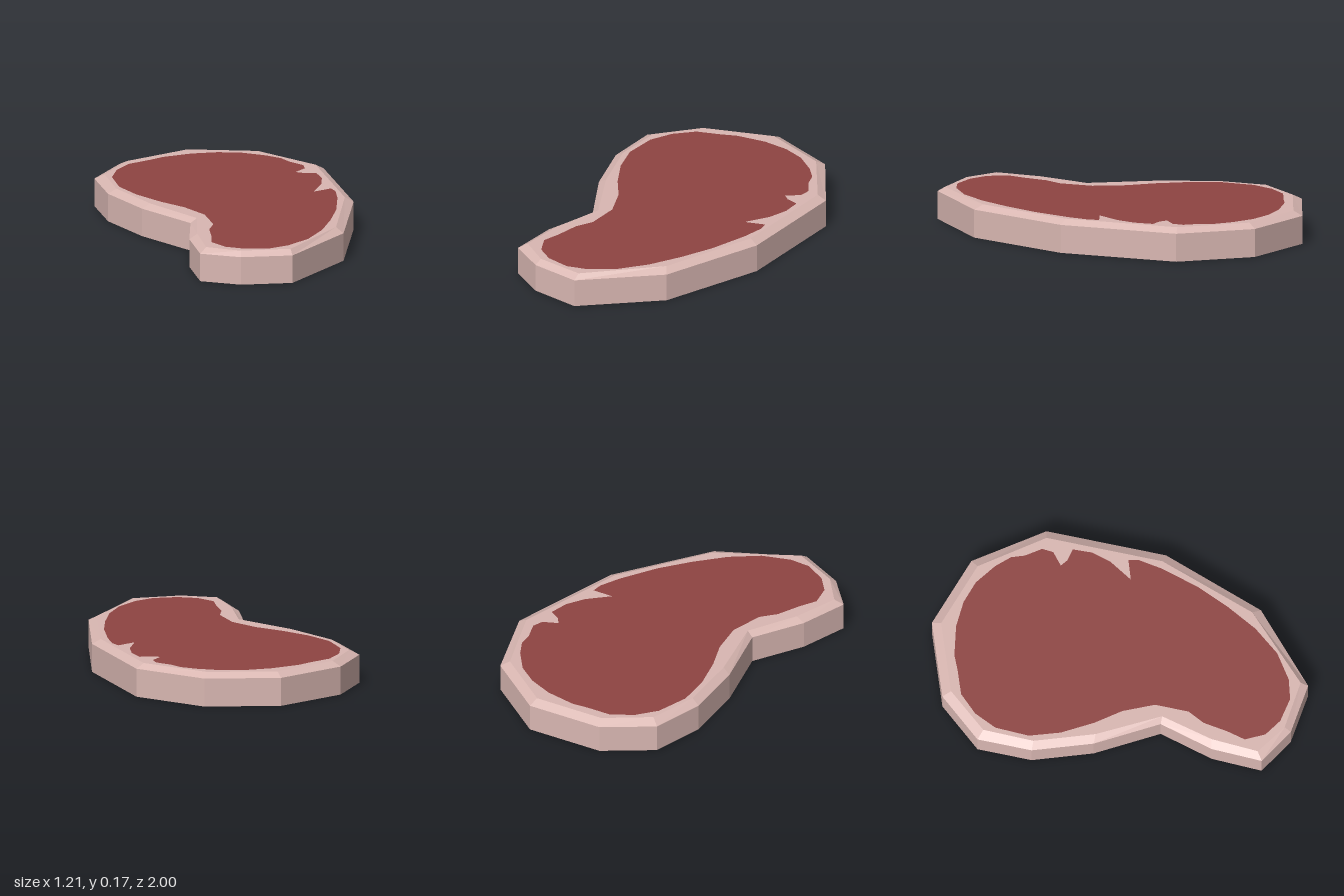
import * as THREE from 'three';

// Slab corners as [x, z], starting at the back and running round by the +x side
const outer = [
  [-0.02, -1], [0.36, -0.87], [0.605, -0.52], [0.605, 0.12], [0.41, 0.67], [0.05, 1], [-0.22, 0.965],
  [-0.41, 0.85], [-0.4, 0.58], [-0.32, 0.29], [-0.5, -0.03], [-0.605, -0.34], [-0.605, -0.63], [-0.41, -0.86],
];
const inner = [
  [-0.02, -0.95], [0.33, -0.83], [0.56, -0.51], [0.56, 0.11], [0.38, 0.63], [0.05, 0.96], [-0.21, 0.93],
  [-0.37, 0.82], [-0.355, 0.57], [-0.285, 0.29], [-0.455, -0.03], [-0.56, -0.34], [-0.555, -0.61], [-0.38, -0.82],
];
// Ragged edge of the lean meat, same direction
const lean = [
  [-0.02, -0.87], [0.12, -0.86], [0.24, -0.82], [0.35, -0.74], [0.415, -0.67], [0.44, -0.6], [0.495, -0.52],
  [0.49, -0.46], [0.425, -0.405], [0.46, -0.378], [0.526, -0.363], [0.53, -0.26], [0.5, -0.155], [0.425, -0.03],
  [0.53, -0.066], [0.54, -0.01], [0.52, 0.11], [0.46, 0.32], [0.385, 0.495], [0.295, 0.665], [0.185, 0.805],
  [0.055, 0.895], [-0.05, 0.925], [-0.18, 0.9], [-0.27, 0.84], [-0.32, 0.74], [-0.295, 0.64], [-0.275, 0.51],
  [-0.23, 0.42], [-0.23, 0.24], [-0.3, 0.08], [-0.395, -0.05], [-0.485, -0.21], [-0.537, -0.37],
  [-0.53, -0.55], [-0.475, -0.67], [-0.385, -0.765], [-0.26, -0.81], [-0.18, -0.845],
];
const EDGE_Y = 0.15, TOP_Y = 0.175;

// Flat face at height y, pointing up (dir 1) or down (dir -1), with an optional hole
function face(points, y, dir, hole) {
  const to2D = (list) => list.map(([x, z]) => new THREE.Vector2(x, -dir * z));
  const shape = new THREE.Shape(to2D(points));
  if (hole) shape.holes.push(new THREE.Path(to2D(hole)));
  return new THREE.ShapeGeometry(shape).rotateX(-dir * Math.PI / 2).translate(0, y, 0);
}

// Faceted band joining two loops
function band(low, y0, high, y1) {
  const pos = [];
  low.forEach((a, i) => {
    const j = (i + 1) % low.length;
    const a0 = [a[0], y0, a[1]], b0 = [low[j][0], y0, low[j][1]];
    const a1 = [high[i][0], y1, high[i][1]], b1 = [high[j][0], y1, high[j][1]];
    pos.push(...b0, ...a0, ...a1, ...b0, ...a1, ...b1);
  });
  const geo = new THREE.BufferGeometry();
  geo.setAttribute('position', new THREE.Float32BufferAttribute(pos, 3));
  geo.computeVertexNormals();
  return geo;
}

export function createModel() {
  const fat = new THREE.MeshStandardMaterial({ color: 0xd9b7b2 });
  fat.name = 'fat';
  const meat = new THREE.MeshStandardMaterial({ color: 0x8f4442 });
  meat.name = 'meat';

  const steak = new THREE.Group();
  steak.name = 'steak';
  const add = (name, geo, mat) => {
    const mesh = new THREE.Mesh(geo, mat);
    mesh.name = name;
    steak.add(mesh);
  };

  // Fat rim: upright side, bevel and the borders around the lean
  add('fatSide', band(outer, 0, outer, EDGE_Y), fat);
  add('fatBevel', band(outer, EDGE_Y, inner, TOP_Y), fat);
  add('fatTop', face(inner, TOP_Y, 1, lean), fat);
  add('fatBottom', face(outer, 0, -1, lean), fat);

  // Lean meat on both faces
  add('meatTop', face(lean, TOP_Y, 1), meat);
  add('meatBottom', face(lean, 0, -1), meat);
  return steak;
}
